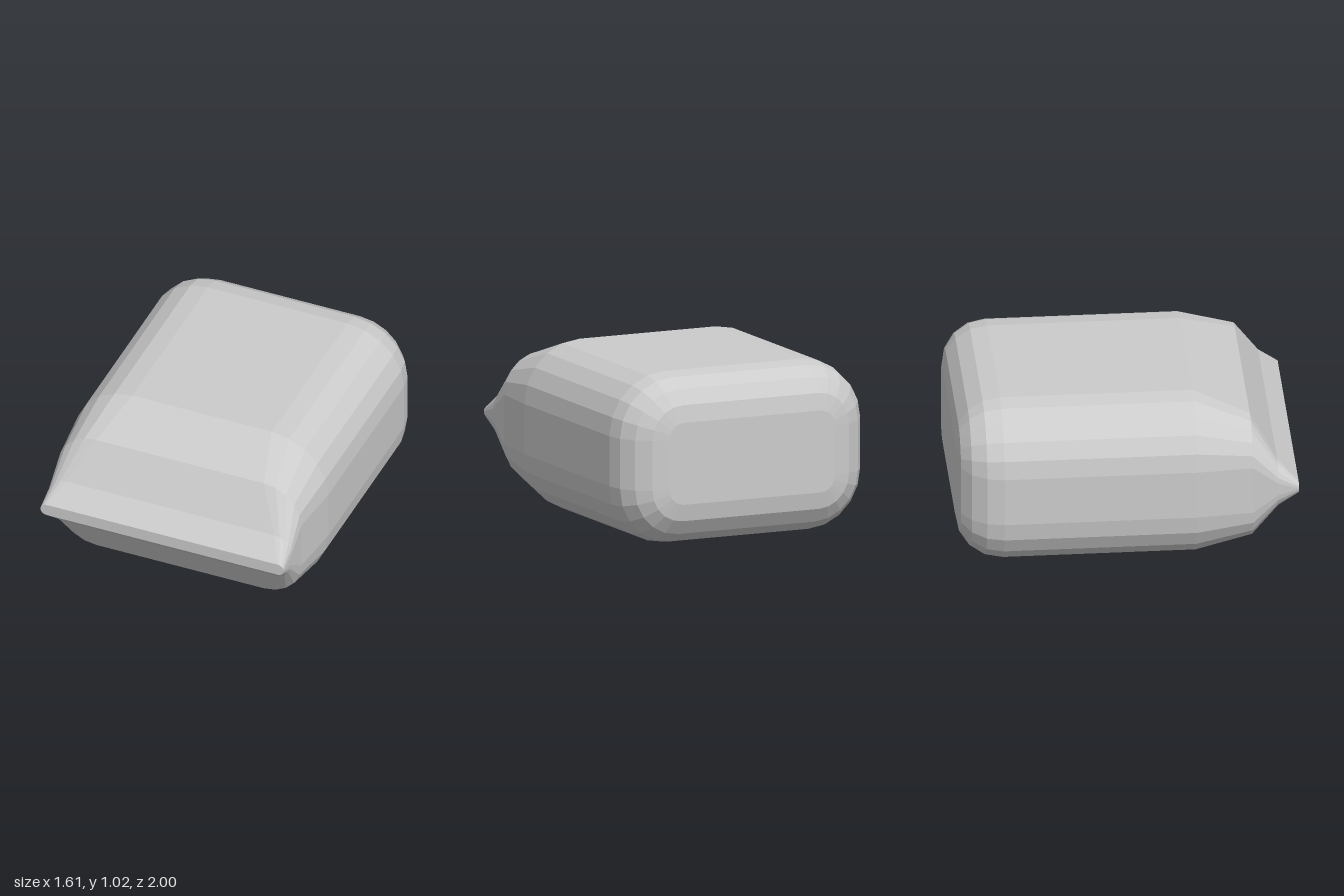
import * as THREE from 'three';

const CENTER_Y = 0.51;
const CORNER_STEPS = 5;

// Rounded rectangle cross-section at depth z, counter-clockwise seen from +z
function section([z, halfW, halfH, r]) {
  const points = [];
  const corners = [[1, 1], [-1, 1], [-1, -1], [1, -1]];
  corners.forEach(([sx, sy], quarter) => {
    for (let i = 0; i <= CORNER_STEPS; i++) {
      const a = (quarter + i / CORNER_STEPS) * Math.PI / 2;
      points.push([
        sx * (halfW - r) + r * Math.cos(a),
        CENTER_Y + sy * (halfH - r) + r * Math.sin(a),
        z,
      ]);
    }
  });
  return points;
}

// Skin a row of sections ordered from back to front, with optional end caps
function loft(name, specs, capBack, capFront) {
  const rings = specs.map(section);
  const n = rings[0].length;
  const positions = [];
  const tri = (a, b, c) => positions.push(...a, ...b, ...c);
  for (let k = 0; k < rings.length - 1; k++) {
    for (let i = 0; i < n; i++) {
      const j = (i + 1) % n;
      const a = rings[k][i], b = rings[k][j];
      const c = rings[k + 1][j], d = rings[k + 1][i];
      tri(a, b, c);
      tri(a, c, d);
    }
  }
  const back = rings[0], front = rings[rings.length - 1];
  for (let i = 0; i < n; i++) {
    const j = (i + 1) % n;
    if (capBack) tri([0, CENTER_Y, back[0][2]], back[j], back[i]);
    if (capFront) tri([0, CENTER_Y, front[0][2]], front[i], front[j]);
  }
  const geometry = new THREE.BufferGeometry();
  geometry.setAttribute('position', new THREE.Float32BufferAttribute(positions, 3));
  geometry.computeVertexNormals();
  const material = new THREE.MeshStandardMaterial({ color: 0xcccccc, flatShading: true });
  const mesh = new THREE.Mesh(geometry, material);
  mesh.name = name;
  return mesh;
}

export function createModel() {
  const group = new THREE.Group();
  group.name = 'pillowBody';

  // Rounded back edge: quarter-circle bevel around the main section
  const W = 0.805, H = 0.51, R = 0.36, bevel = 0.265;
  const main = [];
  for (let i = 0; i <= 4; i++) {
    const a = (i / 4) * Math.PI / 2;
    const inset = bevel * (1 - Math.sin(a));
    main.push([-1 + bevel * (1 - Math.cos(a)), W - inset, H - inset, R - inset]);
  }

  // Straight body and tapered shoulder
  const shoulder = [0.73, 0.775, 0.388, 0.24];
  main.push([0.4, W, H, R], shoulder);
  group.add(loft('body', main, true, false));

  // Front pinched down to a thin flat lip
  group.add(loft('pinchedFront', [
    shoulder,
    [0.88, 0.775, 0.148, 0.11],
    [1, 0.775, 0.037, 0.036],
  ], false, true));

  return group;
}
